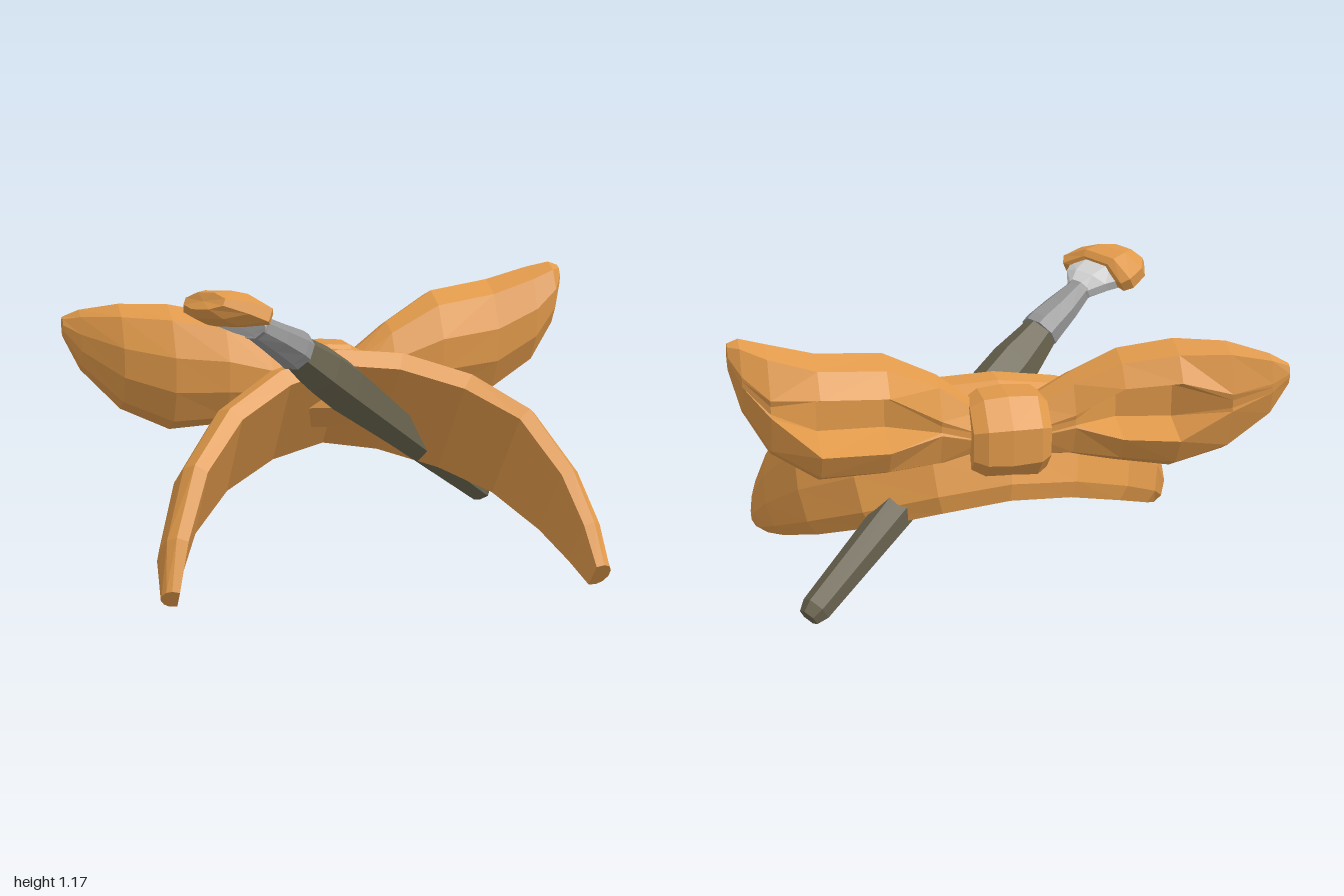
import * as THREE from 'three';

const V = (x, y, z) => new THREE.Vector3(x, y, z);
const paint = (name, color) => {
  const m = new THREE.MeshStandardMaterial({ color, flatShading: true });
  m.name = name;
  return m;
};

// Closed skin over a row of rings with equal point counts, capped at both ends
function loft(rings) {
  const n = rings[0].length;
  const pts = rings.flat();
  const tris = [];
  for (let i = 0; i < rings.length - 1; i++) {
    for (let j = 0; j < n; j++) {
      const a = i * n + j, b = i * n + (j + 1) % n;
      tris.push([a, b, a + n], [b, b + n, a + n]);
    }
  }
  const last = (rings.length - 1) * n;
  for (const [start, flip] of [[0, true], [last, false]]) {
    const mid = V(0, 0, 0);
    for (let j = 0; j < n; j++) mid.addScaledVector(pts[start + j], 1 / n);
    const c = pts.push(mid) - 1;
    for (let j = 0; j < n; j++) {
      const a = start + j, b = start + (j + 1) % n;
      tris.push(flip ? [b, a, c] : [a, b, c]);
    }
  }
  // Turn every face outward by the sign of the enclosed volume
  let volume = 0;
  for (const [a, b, c] of tris) volume += pts[a].dot(pts[b].clone().cross(pts[c]));
  if (volume < 0) tris.forEach((t) => t.reverse());
  const g = new THREE.BufferGeometry().setFromPoints(tris.flat().map((i) => pts[i]));
  g.computeVertexNormals();
  return g;
}

// Ring from a 2D section placed on two axes
const ring = (c, p, q, sp, sq, section) =>
  section.map(([a, b]) => c.clone().addScaledVector(p, a * sp).addScaledVector(q, b * sq));

const polygon = (n, turn = 0.5) => Array.from({ length: n }, (_, i) => {
  const t = ((i + turn) / n) * Math.PI * 2;
  return [Math.cos(t), Math.sin(t)];
});

export function createModel() {
  const model = new THREE.Group();
  const orange = paint('orange', 0xe0994a);
  const wood = paint('dark olive wood', 0x6b6550);
  const metal = paint('grey metal', 0x959595);
  const white = paint('pale bristle', 0xd6d6d6);
  const add = (name, geometry, material) => {
    const m = new THREE.Mesh(geometry, material);
    m.name = name;
    model.add(m);
  };

  // Headband: tilted arch, broad at the crown, ridged outside, tapering to the tips
  const across = V(0, 0.8, 0.6);
  const bandSection = [[0.92, -0.8], [1, 0], [0.8, 0.6], [0.3, 1], [-0.3, 1], [-0.8, 0.6], [-1, 0], [-0.92, -0.8]];
  const band = [ // x, y, z, half width, half thickness
    [-0.79, 0.08, 0.38, 0.045, 0.035], [-0.755, 0.2, 0.27, 0.12, 0.055],
    [-0.655, 0.37, 0.1, 0.2, 0.065], [-0.48, 0.51, -0.08, 0.23, 0.075],
    [-0.25, 0.61, -0.2, 0.24, 0.082], [0, 0.66, -0.265, 0.25, 0.085],
    [0.25, 0.63, -0.235, 0.26, 0.088], [0.5, 0.55, -0.13, 0.26, 0.085],
    [0.68, 0.445, 0.04, 0.245, 0.07], [0.785, 0.29, 0.25, 0.185, 0.06],
    [0.825, 0.16, 0.41, 0.12, 0.052], [0.835, 0.06, 0.525, 0.06, 0.04],
  ];
  const centres = band.map(([x, y, z]) => V(x, y, z));
  add('headband', loft(band.map(([, , , w, t], i) => {
    const tangent = centres[Math.min(i + 1, band.length - 1)].clone()
      .sub(centres[Math.max(i - 1, 0)]).normalize();
    const out = across.clone().cross(tangent).normalize();
    return ring(centres[i], across, out, w, t, bandSection);
  })), orange);

  // Bow loops: plump all round, with a lozenge-shaped hollow at the back
  const up = V(0, 1, 0), front = V(0, 0, 1);
  const loop = (stations) => loft(stations.map(([x, y, z, h, d, hollow]) => {
    const rim = 0.1 + 0.35 * hollow;
    return ring(V(x, y, z), up, front, h, d, [
      [1, 0], [0.8, 0.6], [0.25, 1], [-0.3, 0.95], [-0.8, 0.55], [-1, -0.1],
      [-0.82, -0.65], [-rim, -1], [-rim * 0.5, hollow - 1], [rim * 0.7, hollow - 1], [rim + 0.08, -1], [0.85, -0.6],
    ]);
  }));
  add('leftBowLoop', loop([ // x, y, z, half height, half depth, hollow
    [0.1, 0.7, -0.28, 0.11, 0.1, 0], [0.25, 0.755, -0.28, 0.175, 0.12, 0.05],
    [0.45, 0.81, -0.315, 0.23, 0.16, 0.9], [0.7, 0.83, -0.345, 0.24, 0.155, 0.9],
    [0.87, 0.91, -0.335, 0.205, 0.135, 0.05], [0.96, 1, -0.315, 0.135, 0.09, 0],
    [1, 1.07, -0.315, 0.05, 0.035, 0],
  ]), orange);
  add('rightBowLoop', loop([
    [-0.1, 0.7, -0.28, 0.11, 0.1, 0], [-0.25, 0.74, -0.285, 0.16, 0.115, 0.05],
    [-0.42, 0.77, -0.31, 0.22, 0.14, 0.9], [-0.62, 0.78, -0.36, 0.25, 0.145, 0.9],
    [-0.8, 0.82, -0.43, 0.21, 0.115, 0.05], [-0.94, 0.88, -0.515, 0.12, 0.055, 0],
    [-1, 0.93, -0.55, 0.04, 0.025, 0],
  ]), orange);

  // Bow knot: short bulging wrap
  const octagon = polygon(8);
  add('bowKnot', loft([[-0.15, 0.13], [-0.11, 0.16], [0, 0.168], [0.09, 0.16], [0.14, 0.13]].map(
    ([x, r]) => ring(V(x, 0.69, -0.31), up, front, r * 1.08, r, octagon))), orange);

  // Brush handle and ferrule run along one slanted axis
  const tail = V(0.775, 0.125, -0.53), neck = V(-0.25, 0.915, 0.135);
  const axis = neck.clone().sub(tail).normalize();
  const fan = V(0.58, 0.08, 0.81);
  fan.addScaledVector(axis, -fan.dot(axis)).normalize();
  const thin = axis.clone().cross(fan);
  const hexagon = polygon(6);
  add('brushHandle', loft([[0, 0.04], [0.03, 0.057], [0.5, 0.08], [0.78, 0.102], [0.88, 0.097], [1, 0.07]].map(
    ([t, r]) => ring(tail.clone().lerp(neck, t), fan, thin, r, r, hexagon))), wood);

  // Brush head: x, y, z, half width, half thickness, sweep of the sides toward the handle
  const head = (stations) => loft(stations.map(([x, y, z, w, t, sweep]) =>
    octagon.map(([a, b]) => V(x, y, z).addScaledVector(fan, a * w)
      .addScaledVector(thin, b * t).addScaledVector(axis, -sweep * a * a))));
  add('ferrule', head([
    [-0.24, 0.91, 0.13, 0.08, 0.078, 0], [-0.265, 0.93, 0.147, 0.08, 0.075, 0],
    [-0.345, 0.98, 0.195, 0.07, 0.06, 0], [-0.42, 1.027, 0.24, 0.052, 0.05, 0],
    [-0.435, 1.035, 0.25, 0.055, 0.052, 0],
  ]), metal);
  add('bristles', head([
    [-0.42, 1.027, 0.242, 0.046, 0.043, 0], [-0.47, 1.06, 0.272, 0.105, 0.052, 0],
    [-0.55, 1.105, 0.305, 0.14, 0.052, 0.05],
  ]), white);
  add('paintedTip', head([
    [-0.53, 1.1, 0.298, 0.158, 0.058, 0.06], [-0.55, 1.115, 0.305, 0.182, 0.068, 0.055],
    [-0.6, 1.135, 0.316, 0.165, 0.06, 0.03], [-0.64, 1.15, 0.322, 0.1, 0.036, 0.01],
  ]), orange);

  return model;
}
